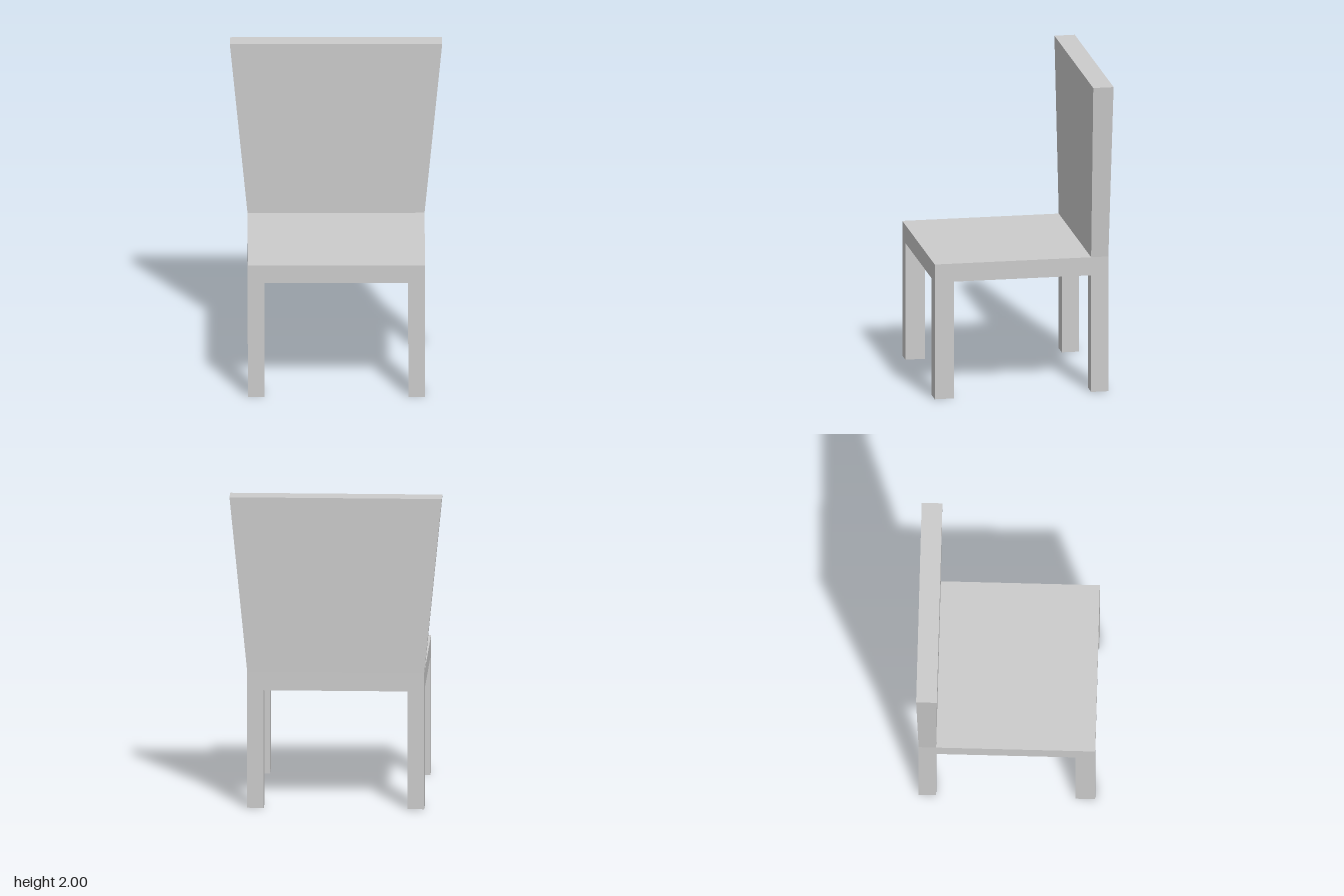
import * as THREE from 'three';

const SEAT_BOTTOM = 0.757, SEAT_TOP = 0.874, HEIGHT = 2;
const HALF_WIDTH = 0.556, LEG_INNER = 0.452, TOP_HALF_WIDTH = 0.667;
const FRONT = 0.561, FRONT_INNER = 0.437, BACK_INNER = -0.438, BACK = -0.548;
const BACKREST_TOP_FRONT = -0.431, BACKREST_TOP_BACK = -0.561;

export function createModel() {
  const chair = new THREE.Group();
  chair.name = 'chair';
  const material = new THREE.MeshStandardMaterial({ color: 0xcccccc, flatShading: true });

  // Adds a box spanning the given minimum and maximum on each axis
  function addBox(name, [x0, x1], [y0, y1], [z0, z1]) {
    const geometry = new THREE.BoxGeometry(x1 - x0, y1 - y0, z1 - z0);
    geometry.translate((x0 + x1) / 2, (y0 + y1) / 2, (z0 + z1) / 2);
    const mesh = new THREE.Mesh(geometry, material);
    mesh.name = name;
    chair.add(mesh);
    return mesh;
  }

  // Seat slab
  addBox('seat', [-HALF_WIDTH, HALF_WIDTH], [SEAT_BOTTOM, SEAT_TOP], [BACK, FRONT]);

  // Four square legs, flush with the seat corners
  for (const [side, x] of [['Left', [LEG_INNER, HALF_WIDTH]], ['Right', [-HALF_WIDTH, -LEG_INNER]]]) {
    addBox(`front${side}Leg`, x, [0, SEAT_BOTTOM], [FRONT_INNER, FRONT]);
    addBox(`back${side}Leg`, x, [0, SEAT_BOTTOM], [BACK, BACK_INNER]);
  }

  // Backrest, flaring wider and slightly thicker towards the top
  const backrest = addBox('backrest', [-HALF_WIDTH, HALF_WIDTH], [SEAT_TOP, HEIGHT], [BACK, BACK_INNER]);
  const position = backrest.geometry.attributes.position;
  const middle = (BACK + BACK_INNER) / 2;
  for (let i = 0; i < position.count; i++) {
    if (position.getY(i) < (SEAT_TOP + HEIGHT) / 2) continue;
    position.setX(i, Math.sign(position.getX(i)) * TOP_HALF_WIDTH);
    position.setZ(i, position.getZ(i) > middle ? BACKREST_TOP_FRONT : BACKREST_TOP_BACK);
  }
  backrest.geometry.computeVertexNormals();

  return chair;
}
